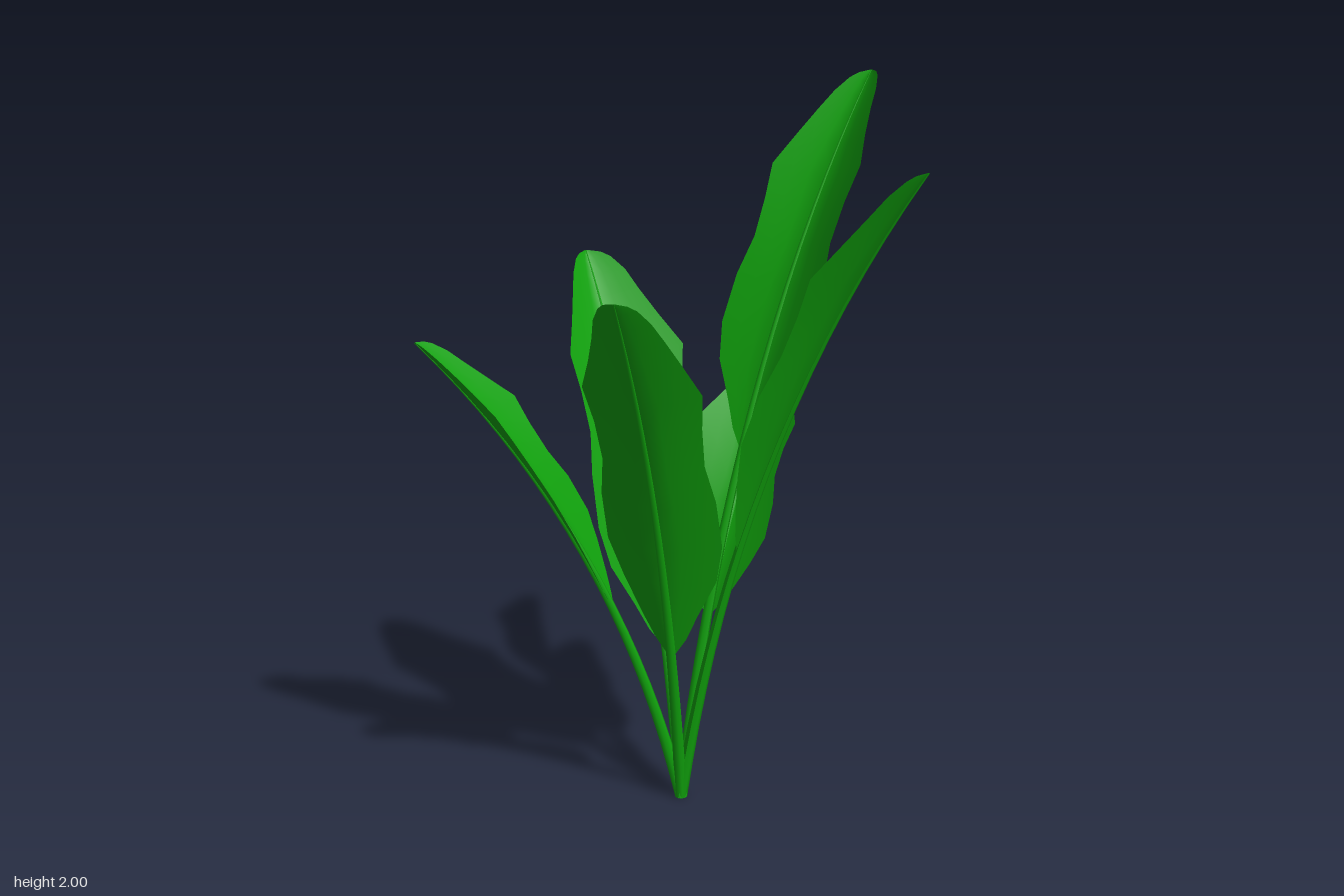
import * as THREE from 'three';

const BASE = new THREE.Vector3(-0.06, 0, 0.015);
const UP = new THREE.Vector3(0, 1, 0);

// Each leaf: tip position, where the blade starts along the rib, half widths of its two sides
const LEAVES = [
  { tip: [0.645, 1.995, -0.12], start: 0.44, widths: [0.165, 0.205] },
  { tip: [0.30, 1.76, 0.58], start: 0.38, widths: [0.15, 0.148] },
  { tip: [-0.03, 1.48, -0.585], start: 0.25, widths: [0.182, 0.182] },
  { tip: [-0.645, 1.29, -0.385], start: 0.38, widths: [0.137, 0.137] },
  { tip: [-0.445, 1.475, 0.375], start: 0.27, widths: [0.162, 0.168] },
  { tip: [0.455, 1.17, -0.27], start: 0.38, widths: [0.165, 0.155] },
];

// Wavy outline: [position along blade, relative half width on each side]
const OUTLINE = [
  [0, 0.06, 0.06], [0.04, 0.27, 0.25], [0.1, 0.48, 0.46], [0.19, 0.83, 0.73],
  [0.28, 0.96, 0.95], [0.4, 0.93, 0.96], [0.5, 0.82, 0.84], [0.6, 0.85, 0.88],
  [0.69, 0.92, 1.0], [0.78, 0.72, 0.76], [0.86, 0.55, 0.58], [0.92, 0.42, 0.47],
  [0.965, 0.28, 0.32], [0.985, 0.17, 0.2], [1, 0.02, 0.02],
];
const ACROSS = [-1, -0.66, -0.33, 0, 0.33, 0.66, 1];

// Surface through rows of points
function loft(rows) {
  const n = rows[0].length, pos = [], index = [];
  rows.forEach((row) => row.forEach((p) => pos.push(p.x, p.y, p.z)));
  for (let i = 0; i < rows.length - 1; i++) {
    for (let j = 0; j < n - 1; j++) {
      const a = i * n + j, b = a + n;
      index.push(a, a + 1, b, a + 1, b + 1, b);
    }
  }
  const g = new THREE.BufferGeometry();
  g.setAttribute('position', new THREE.Float32BufferAttribute(pos, 3));
  g.setIndex(index);
  g.computeVertexNormals();
  return g;
}

function makeLeaf({ tip, start, widths }, material) {
  const end = new THREE.Vector3(...tip);
  const span = end.clone().sub(BASE);
  const bend = BASE.clone().add(new THREE.Vector3(span.x * 0.25, span.y * 0.6, span.z * 0.25));
  const rib = new THREE.QuadraticBezierCurve3(BASE, bend, end);
  const side = new THREE.Vector3(span.x, 0, span.z).normalize().cross(UP);

  // Point beside the rib: a across the leaf, b towards its upper face
  const offset = (t, a, b) => {
    const normal = side.clone().cross(rib.getTangent(t)).normalize();
    return rib.getPoint(t).addScaledVector(side, a).addScaledVector(normal, b);
  };

  // Blade, folded upwards along the rib and more so towards the tip
  const blade = loft(OUTLINE.map(([u, wa, wb]) => {
    const t = start + (1 - start) * u;
    const fold = 0.22 + 0.24 * Math.min(1, u / 0.7);
    return ACROSS.map((v) => {
      const a = v * (v < 0 ? widths[0] * wa : widths[1] * wb);
      return offset(t, a, Math.abs(a) * fold * (0.75 + 0.25 * Math.abs(v)));
    });
  }));

  // Stem, tapering into the rib
  const sides = 6, steps = 18, rings = [];
  for (let i = 0; i <= steps; i++) {
    const t = i / steps, r = 0.002 + 0.016 * (1 - t), ring = [];
    for (let j = 0; j <= sides; j++) {
      const angle = (j / sides) * Math.PI * 2;
      const p = offset(t, Math.cos(angle) * r, Math.sin(angle) * r);
      p.y = Math.max(p.y, 0);
      ring.push(p);
    }
    rings.push(ring);
  }

  const leaf = new THREE.Group();
  leaf.name = 'leaf';
  const bladeMesh = new THREE.Mesh(blade, material);
  bladeMesh.name = 'leafBlade';
  const stemMesh = new THREE.Mesh(loft(rings), material);
  stemMesh.name = 'leafStem';
  leaf.add(bladeMesh, stemMesh);
  return leaf;
}

export function createModel() {
  const plant = new THREE.Group();
  plant.name = 'plant';
  const green = new THREE.MeshStandardMaterial({ color: 0x10a00c, side: THREE.DoubleSide });
  LEAVES.forEach((spec) => plant.add(makeLeaf(spec, green)));
  return plant;
}
